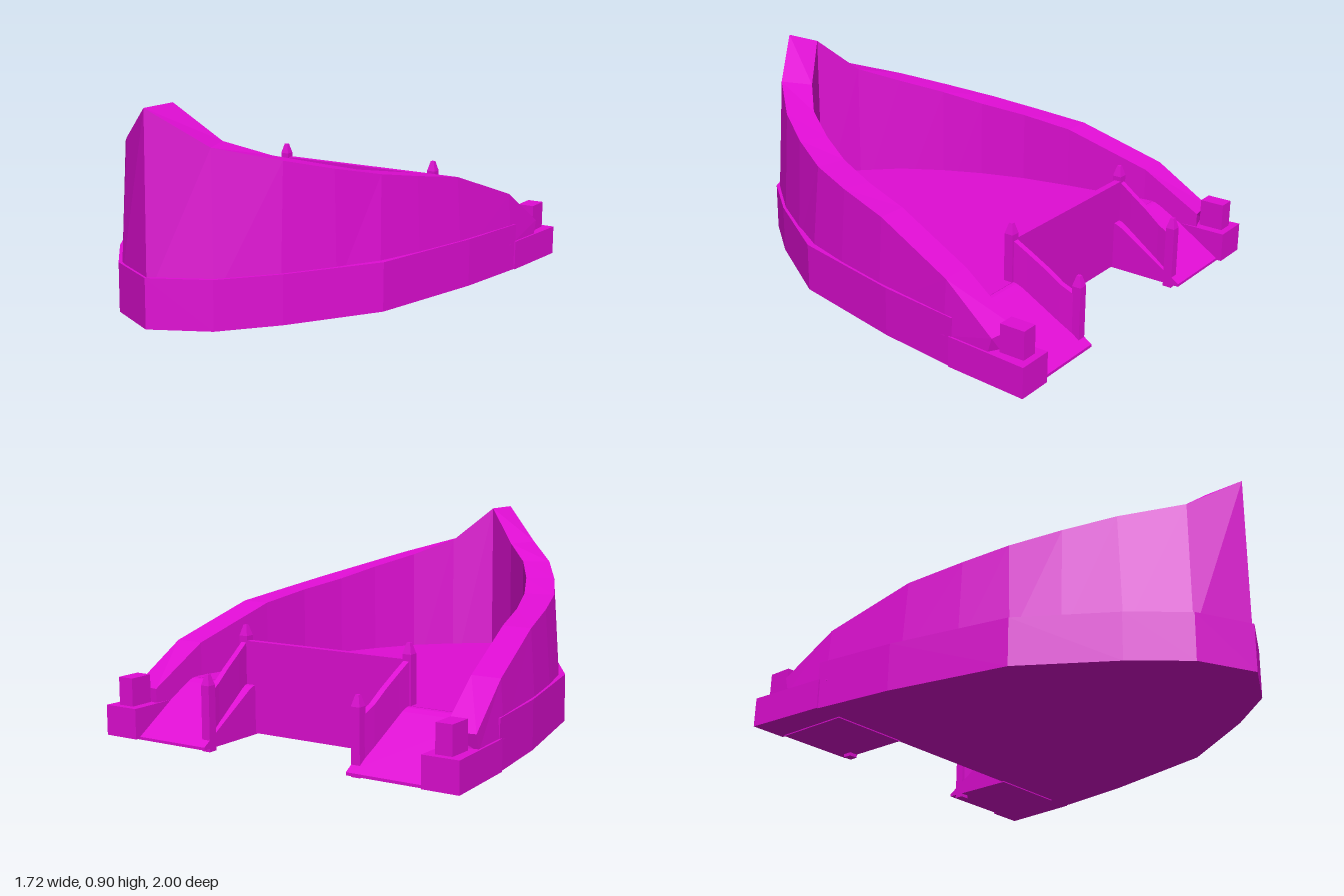
import * as THREE from 'three';

const magenta = new THREE.MeshStandardMaterial({ color: 0xe00dd4 });
magenta.name = 'magenta';

function add(group, name, geometry) {
  const mesh = new THREE.Mesh(geometry, magenta);
  mesh.name = name;
  group.add(mesh);
  return mesh;
}

// Box given by its limits on each axis
function box(x0, x1, y0, y1, z0, z1) {
  return new THREE.BoxGeometry(x1 - x0, y1 - y0, z1 - z0)
    .translate((x0 + x1) / 2, (y0 + y1) / 2, (z0 + z1) / 2);
}

// Plan outline of [x, z] points raised from y0 to y1
function plate(points, y0, y1) {
  const shape = new THREE.Shape(points.map(([x, z]) => new THREE.Vector2(x, -z)));
  return new THREE.ExtrudeGeometry(shape, { depth: y1 - y0, bevelEnabled: false })
    .rotateX(-Math.PI / 2).translate(0, y0, 0);
}

// Flat-shaded solid through cross-section loops, capped at both ends
function loft(sections, side) {
  const loops = sections.map((loop) => {
    const out = loop.map(([x, y, z]) => [x * side, y, z]);
    return side < 0 ? out.reverse() : out;
  });
  const pos = [];
  const tri = (a, b, c) => pos.push(...a, ...b, ...c);
  const quad = (a, b, c, d) => { tri(a, b, c); tri(a, c, d); };
  for (let i = 0; i < loops.length - 1; i++) {
    for (let j = 0; j < 4; j++) {
      const k = (j + 1) % 4;
      quad(loops[i][j], loops[i + 1][j], loops[i + 1][k], loops[i][k]);
    }
  }
  const [first, last] = [loops[0], loops[loops.length - 1]];
  quad(...first);
  quad(last[3], last[2], last[1], last[0]);
  const g = new THREE.BufferGeometry();
  g.setAttribute('position', new THREE.Float32BufferAttribute(pos, 3));
  g.computeVertexNormals();
  return g;
}

// Square post with a tapered tip
function post(group, name, x, z, y0, y1) {
  const w = 0.02, tip = 0.045;
  add(group, name, box(x - w, x + w, y0, y1 - tip, z - w, z + w));
  const cap = new THREE.CylinderGeometry(0.011, w * Math.SQRT2, tip, 4, 1).toNonIndexed();
  cap.rotateY(Math.PI / 4).translate(x, y1 - tip / 2, z);
  cap.computeVertexNormals();
  add(group, name + 'Tip', cap);
}

// Wall stations: outer bottom x, z; outer rim x, z; inner x, z; rim height
const wallStations = [
  [0, 0.985, 0, 0.98, 0, 0.80, 0.90],
  [0.235, 0.86, 0.21, 0.835, 0.16, 0.69, 0.745],
  [0.41, 0.65, 0.40, 0.62, 0.30, 0.55, 0.68],
  [0.54, 0.44, 0.52, 0.43, 0.41, 0.37, 0.63],
  [0.64, 0.26, 0.62, 0.23, 0.49, 0.20, 0.585],
  [0.705, 0.04, 0.68, 0.03, 0.56, 0.00, 0.55],
  [0.765, -0.22, 0.74, -0.22, 0.61, -0.22, 0.51],
  [0.825, -0.60, 0.81, -0.60, 0.68, -0.60, 0.375],
  [0.84, -0.82, 0.84, -0.84, 0.71, -0.86, 0.21],
];

// Rail stations: x, z, bottom, top
const railStations = [
  [0.41, -0.62, 0.20, 0.42],
  [0.40, -0.70, 0.17, 0.37],
  [0.392, -0.78, 0.10, 0.32],
  [0.385, -0.85, 0.06, 0.27],
  [0.375, -0.92, 0.02, 0.235],
];

export function createModel() {
  const model = new THREE.Group();
  model.name = 'bowShapedTray';

  // Pointed base, its top forming the deck
  const edge = [[0.24, 0.87], [0.42, 0.65], [0.66, 0.27], [0.78, -0.27], [0.83, -0.64]];
  const mirrored = edge.map(([x, z]) => [-x, z]).reverse();
  add(model, 'base', plate([[0, 0.995], ...edge, ...mirrored], 0.02, 0.23));

  // Upright lip at the rear of the deck
  add(model, 'deckLip', box(-0.41, 0.41, 0.22, 0.415, -0.64, -0.61));

  for (const side of [1, -1]) {
    const half = new THREE.Group();
    half.name = side > 0 ? 'leftHalf' : 'rightHalf';
    model.add(half);

    // Side wall sweeping down from the bow
    add(half, 'sideWall', loft(wallStations.map(([bx, bz, ox, oz, ix, iz, y]) => [
      [bx, 0.14, bz], [ox, y, oz], [ix, y, iz], [ix, 0.03, iz],
    ]), side));

    // Low rear strip and the stub on its end
    const strip = [[0.835, -0.63], [0.862, -1], [0.70, -1], [0.70, -0.63]];
    add(half, 'rearStrip', plate(strip.map(([x, z]) => [x * side, z]), 0.02, 0.15));
    const stub = box(0.742, 0.815, 0.14, 0.27, -0.97, -0.86);
    add(half, 'rearStub', stub.translate(side > 0 ? 0 : -2 * 0.7785, 0, 0));

    // Ramp down from the deck
    const profile = new THREE.Shape([
      [-0.63, 0.015], [-0.63, 0.23], [-0.655, 0.226], [-0.68, 0.214],
      [-0.705, 0.198], [-0.975, 0.027], [-0.975, 0.015],
    ].map(([z, y]) => new THREE.Vector2(z, y)));
    const ramp = new THREE.ExtrudeGeometry(profile, { depth: 0.36, bevelEnabled: false });
    ramp.rotateY(-Math.PI / 2).translate(side > 0 ? 0.71 : -0.35, 0, 0);
    add(half, 'ramp', ramp);

    // Curved rail between two posts
    add(half, 'rail', loft(railStations.map(([x, z, y0, y1]) => [
      [x + 0.013, y0, z], [x + 0.013, y1, z], [x - 0.013, y1, z], [x - 0.013, y0, z],
    ]), side));
    post(half, 'frontPost', 0.41 * side, -0.62, 0.2, 0.48);
    post(half, 'rearPost', 0.37 * side, -0.92, 0, 0.32);
  }
  return model;
}
